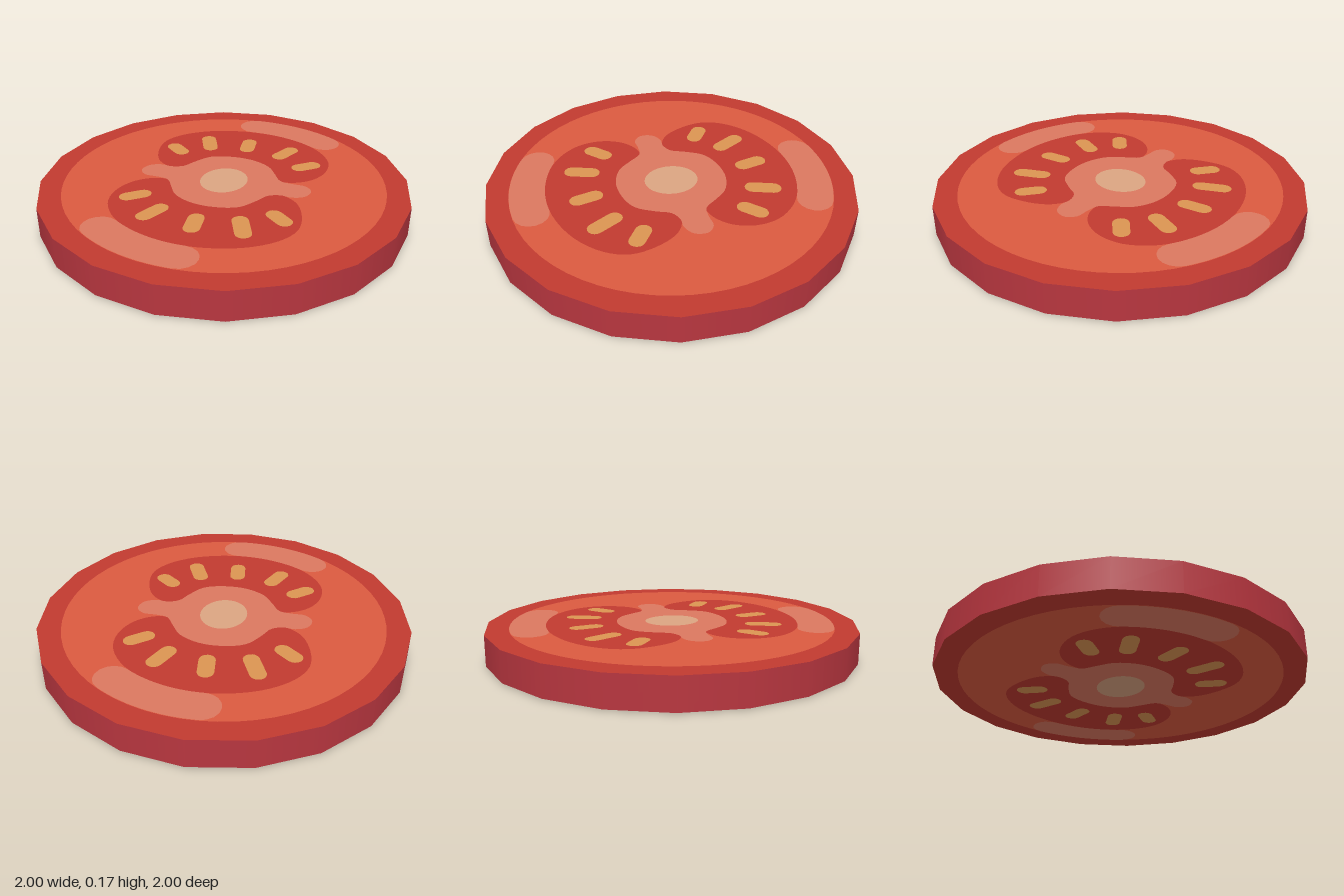
import * as THREE from 'three';

const HEIGHT = 0.17, STEP = 0.001, LAYERS = 4;

const mat = (name, color) => {
  const m = new THREE.MeshStandardMaterial({ color });
  m.name = name;
  return m;
};

// Smooth closed outline through a few [x, z] points
const smooth = (pts, n = 80) =>
  new THREE.CatmullRomCurve3(pts.map(([x, z]) => new THREE.Vector3(x, 0, z)), true)
    .getPoints(n).slice(0, n).map((p) => [p.x, p.z]);

const halfTurn = (pts) => pts.map(([x, z]) => [-x, -z]);

// Tilted ellipse outline
function ellipse(rx, rz, tilt = 0, n = 48) {
  return Array.from({ length: n }, (_, i) => {
    const a = (i / n) * Math.PI * 2, x = rx * Math.cos(a), z = rz * Math.sin(a);
    return [x * Math.cos(tilt) - z * Math.sin(tilt), x * Math.sin(tilt) + z * Math.cos(tilt)];
  });
}

// Capsule outline between two [x, z] points
function capsule([ax, az], [bx, bz], r, n = 8) {
  const dir = Math.atan2(bz - az, bx - ax), pts = [];
  for (const [cx, cz, start] of [[bx, bz, dir - Math.PI / 2], [ax, az, dir + Math.PI / 2]])
    for (let i = 0; i <= n; i++) {
      const a = start + (i / n) * Math.PI;
      pts.push([cx + r * Math.cos(a), cz + r * Math.sin(a)]);
    }
  return pts;
}

// Curved band with round ends, following the rim
function arcBand(radius, half, a0, a1) {
  const pts = [], n = 14, c = 8;
  const polar = (r, a) => [r * Math.cos(a), r * Math.sin(a)];
  const cap = (a, start) => {
    const [cx, cz] = polar(radius, a);
    for (let i = 1; i < c; i++) {
      const t = start + (i / c) * Math.PI;
      pts.push([cx + half * Math.cos(t), cz + half * Math.sin(t)]);
    }
  };
  for (let i = 0; i <= n; i++) pts.push(polar(radius + half, a0 + ((a1 - a0) * i) / n));
  cap(a1, a1);
  for (let i = n; i >= 0; i--) pts.push(polar(radius - half, a0 + ((a1 - a0) * i) / n));
  cap(a0, a0 + Math.PI);
  return pts;
}

export function createModel() {
  const group = new THREE.Group();
  group.name = 'tomatoSlice';

  const skin = mat('skin red', 0xb8363f);
  const rim = mat('rim red', 0xc23a30);
  const flesh = mat('flesh orange red', 0xdc5a40);
  const pale = mat('pale flesh', 0xdc7860);
  const seedColor = mat('seed yellow', 0xdc9552);
  const coreColor = mat('core cream', 0xdca582);

  // Faceted disc with skin around the side
  const inset = STEP * LAYERS;
  const disc = new THREE.Mesh(
    new THREE.CylinderGeometry(1, 1, HEIGHT - 2 * inset, 20, 1, false, THREE.MathUtils.degToRad(2)),
    [skin, rim, rim]);
  disc.position.y = HEIGHT / 2;
  disc.name = 'slice';
  group.add(disc);

  // Flat marking on both the upper and the lower cut face
  function marking(name, outline, material, layer) {
    const part = new THREE.Group();
    part.name = name;
    for (const side of [1, -1]) {
      const shape = new THREE.Shape(outline.map(([x, z]) => new THREE.Vector2(x, -side * z)));
      const geo = new THREE.ShapeGeometry(shape).rotateX((-side * Math.PI) / 2);
      const mesh = new THREE.Mesh(geo, material);
      mesh.name = name + (side > 0 ? 'Top' : 'Bottom');
      mesh.position.y = HEIGHT / 2 + side * (HEIGHT / 2 - inset + layer * STEP);
      part.add(mesh);
    }
    group.add(part);
  }

  // The same marking again, half a turn round
  function pair(name, outline, material, layer) {
    marking(name + 'Back', outline, material, layer);
    marking(name + 'Front', halfTurn(outline), material, layer);
  }

  marking('flesh', ellipse(0.872, 0.872, 0, 64), flesh, 1);

  // Seed chambers
  pair('seedChamber', smooth([
    [-0.6, -0.2], [-0.58, -0.33], [-0.48, -0.48], [-0.3, -0.61], [-0.1, -0.675], [0.06, -0.68],
    [0.22, -0.635], [0.34, -0.54], [0.39, -0.42], [0.38, -0.3], [0.32, -0.21], [0.24, -0.17],
    [0.12, -0.17], [0, -0.15], [-0.15, -0.1], [-0.24, -0.03], [-0.31, 0.04], [-0.38, 0.05],
    [-0.46, 0.02], [-0.55, -0.08],
  ]), rim, 2);

  // Pale bands near the rim
  const rad = THREE.MathUtils.degToRad;
  pair('paleBand', arcBand(0.775, 0.095, rad(247.5), rad(283.5)), pale, 3);

  // Pale centre with two arms
  const half = [
    [0.1, -0.285], [0.18, -0.23], [0.25, -0.18], [0.32, -0.19], [0.39, -0.21], [0.445, -0.18],
    [0.45, -0.11], [0.4, -0.06], [0.34, -0.045], [0.29, 0], [0.275, 0.08], [0.24, 0.19],
    [0.14, 0.265], [0.02, 0.3],
  ];
  marking('paleCentre', smooth([...half, ...halfTurn(half)], 112), pale, 3);

  // Seeds
  [
    [[-0.505, -0.17], [-0.425, -0.14]],
    [[-0.41, -0.38], [-0.325, -0.29]],
    [[-0.182, -0.492], [-0.138, -0.403]],
    [[0.08, -0.548], [0.07, -0.437]],
    [[0.288, -0.455], [0.242, -0.38]],
  ].forEach(([a, b], i) => pair('seed' + (i + 1), capsule(a, b, 0.043), seedColor, 3));

  marking('core', ellipse(0.127, 0.145, -0.25), coreColor, 4);

  return group;
}
